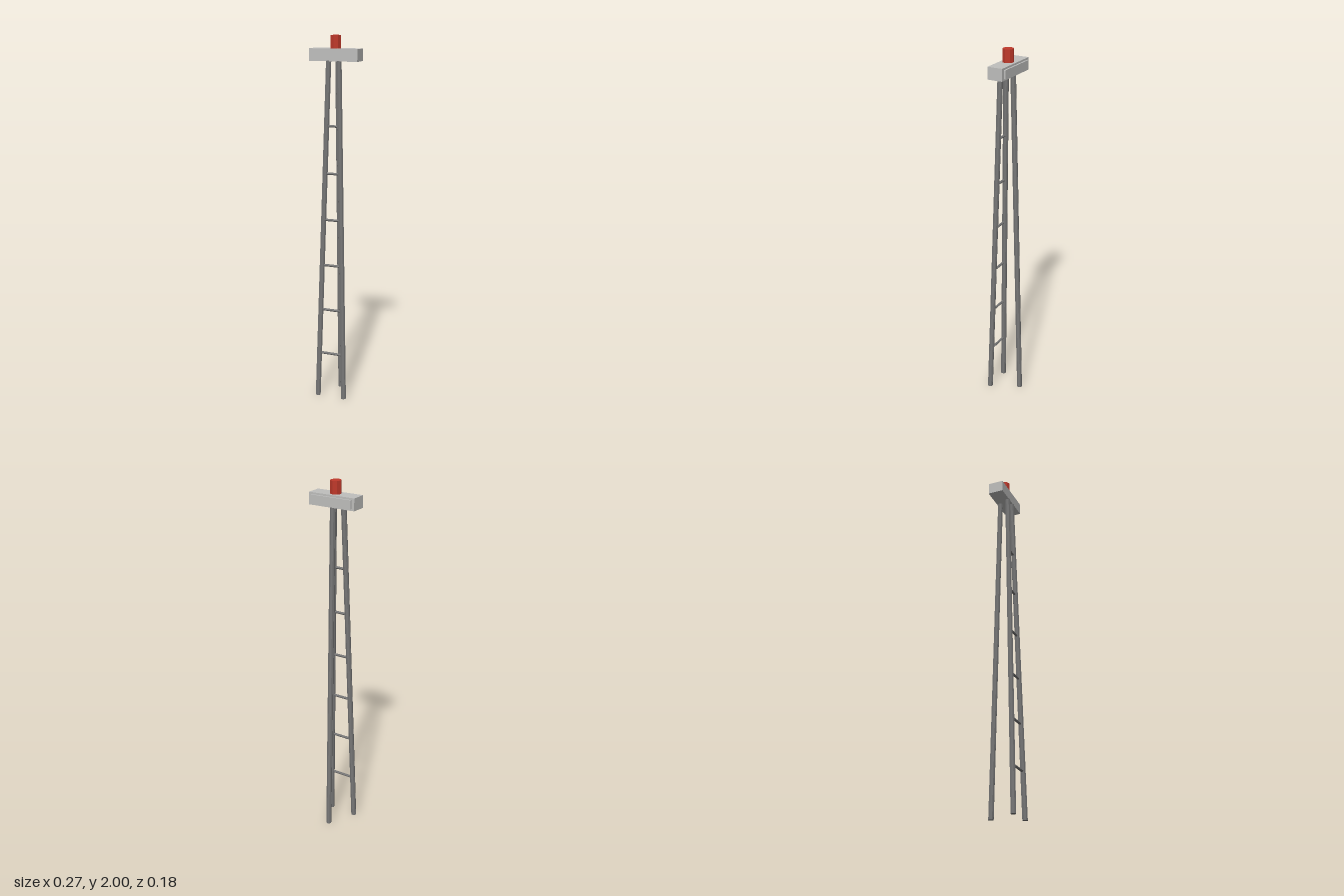
import * as THREE from 'three';

export function createModel() {
  const group = new THREE.Group();
  const paint = (name, color) => {
    const m = new THREE.MeshStandardMaterial({ color, flatShading: true });
    m.name = name;
    return m;
  };
  const steel = paint('steel grey', 0x777777);
  const grey = paint('housing grey', 0xc0c0be);
  const red = paint('lamp red', 0xc0392b);

  const add = (name, geometry, material, x = 0, y = 0, z = 0) => {
    const mesh = new THREE.Mesh(geometry, material);
    mesh.name = name;
    mesh.position.set(x, y, z);
    group.add(mesh);
    return mesh;
  };

  // Round bar with few sides between two points
  const bar = (name, a, b, radius, sides) => {
    const dir = b.clone().sub(a);
    const mesh = add(name, new THREE.CylinderGeometry(radius, radius, dir.length(), sides), steel);
    mesh.position.copy(a).add(b).multiplyScalar(0.5);
    mesh.quaternion.setFromUnitVectors(new THREE.Vector3(0, 1, 0), dir.normalize());
  };

  // Tripod legs, leaning in towards the housing
  const topY = 1.87;
  const foot = 0.077, head = 0.029;
  for (const [name, sx, sz] of [['leftLeg', 1, 1], ['rightLeg', -1, 1], ['backLeg', 0, -1]]) {
    bar(name,
      new THREE.Vector3(sx * foot, 0, sz * foot),
      new THREE.Vector3(sx * head, topY, sz * head), 0.015, 8);
  }

  // Ladder rungs between the two front legs
  for (let i = 1; i <= 6; i++) {
    const y = i * 0.2545;
    const r = THREE.MathUtils.lerp(foot, head, y / topY);
    bar('rung' + i, new THREE.Vector3(-r, y, r), new THREE.Vector3(r, y, r), 0.007, 6);
  }

  // Housing with a raised panel on its back
  add('housing', new THREE.BoxGeometry(0.27, 0.065, 0.084), grey, 0, 1.899, -0.001);
  add('backPanel', new THREE.BoxGeometry(0.238, 0.045, 0.009), grey, 0, 1.899, -0.0475);

  // Warning lamp
  add('lamp', new THREE.CylinderGeometry(0.03, 0.03, 0.07, 8), red, 0, 1.965, 0);

  return group;
}
